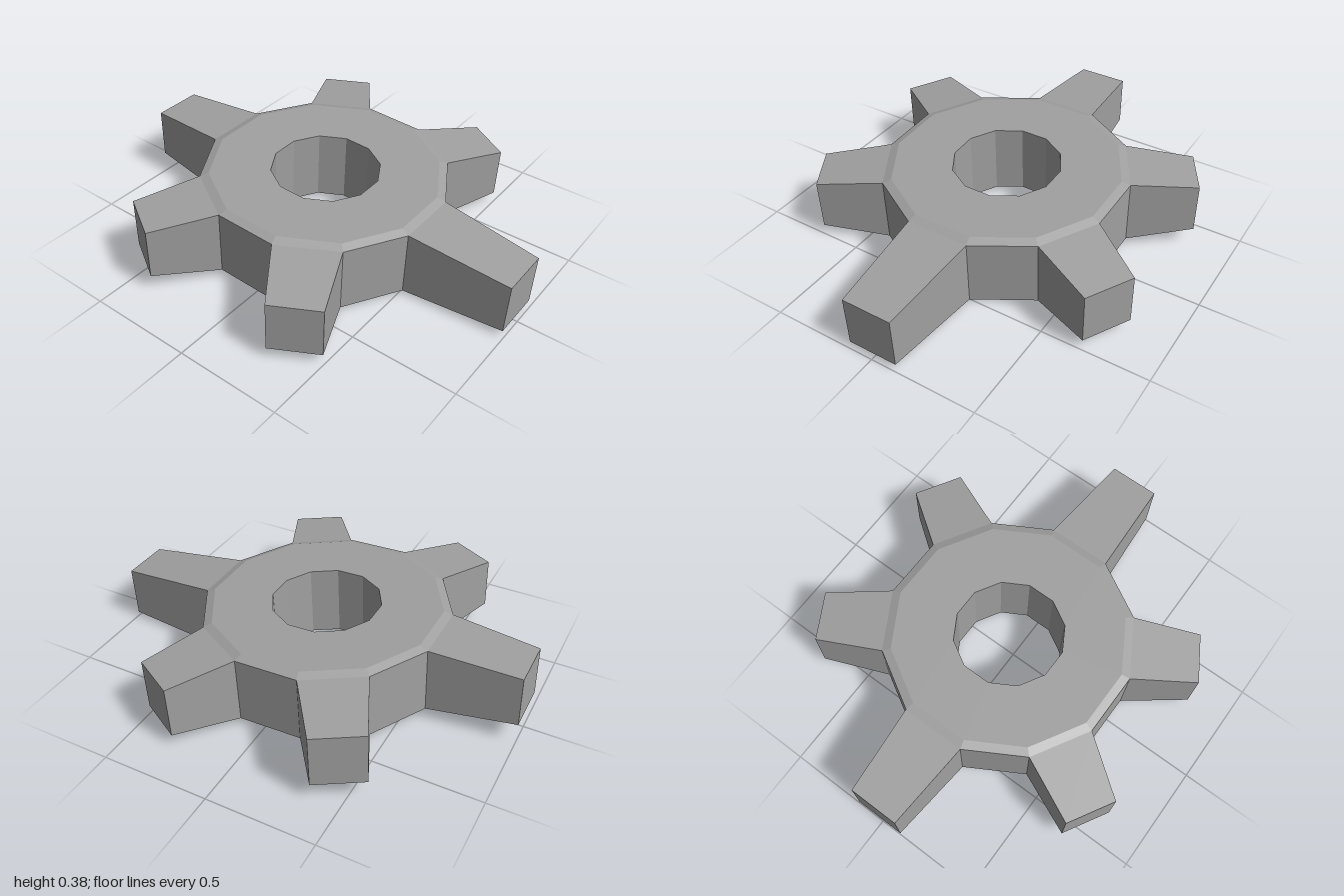
import * as THREE from 'three';

const SIDES = 12;
const RIM = { radius: 0.573, halfHeight: 0.158 };
const TIP = { halfWidth: 0.117, halfHeight: 0.122 };

// Separate the faces so every facet has its own flat normal
function faceted(geometry) {
  const g = geometry.index ? geometry.toNonIndexed() : geometry;
  g.computeVertexNormals();
  return g;
}

// Twelve-sided ring with chamfered rim and a bored hole
function hubGeometry() {
  const profile = [
    [0.253, -0.172], [0.533, -0.172],
    [RIM.radius, -RIM.halfHeight], [RIM.radius, RIM.halfHeight],
    [0.533, 0.172], [0.253, 0.172], [0.253, -0.172],
  ].map(([r, y]) => new THREE.Vector2(r, y));
  return faceted(new THREE.LatheGeometry(profile, SIDES, Math.PI / SIDES));
}

// Box tapering from one facet of the rim out to the tooth tip, along +z
function toothGeometry(reach) {
  const root = RIM.radius * Math.cos(Math.PI / SIDES);
  const rootHalfWidth = RIM.radius * Math.sin(Math.PI / SIDES);
  const g = new THREE.BoxGeometry(2, 2, 2);
  const p = g.attributes.position;
  for (let i = 0; i < p.count; i++) {
    const outer = p.getZ(i) > 0;
    p.setXYZ(i,
      p.getX(i) * (outer ? TIP.halfWidth : rootHalfWidth),
      p.getY(i) * (outer ? TIP.halfHeight : RIM.halfHeight),
      outer ? reach : root);
  }
  return faceted(g);
}

export function createModel() {
  const model = new THREE.Group();
  model.name = 'gear';
  const grey = new THREE.MeshStandardMaterial({ color: 0xa0a0a0 });
  grey.name = 'grey metal';

  // The whole wheel leans slightly, with its back raised
  const wheel = new THREE.Group();
  wheel.name = 'wheel';
  wheel.position.set(0, 0.197, -0.035);
  wheel.rotation.x = 0.0375;
  model.add(wheel);

  const hub = new THREE.Mesh(hubGeometry(), grey);
  hub.name = 'hub';
  wheel.add(hub);

  // Six teeth; the front and back ones are longer
  const reaches = [1.031, 0.866, 0.866, 0.961, 0.866, 0.866];
  reaches.forEach((reach, i) => {
    const tooth = new THREE.Mesh(toothGeometry(reach), grey);
    tooth.name = `tooth${i + 1}`;
    tooth.rotation.y = (i * Math.PI) / 3;
    wheel.add(tooth);
  });

  return model;
}
